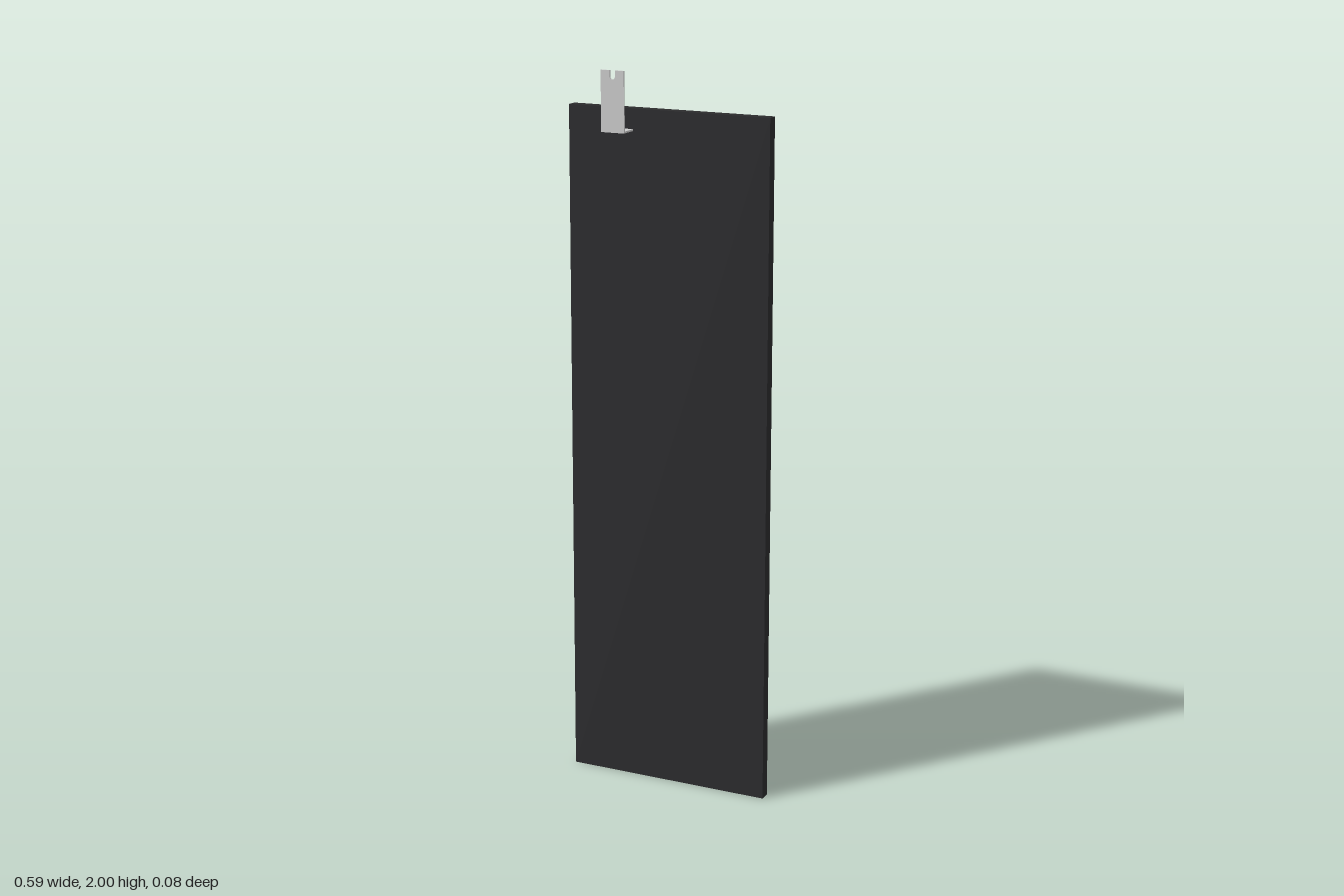
import * as THREE from 'three';

export function createModel() {
  const model = new THREE.Group();
  const dark = new THREE.MeshStandardMaterial({ color: 0x2b2b2d });
  const grey = new THREE.MeshStandardMaterial({ color: 0xcccccc });

  // Tall flat panel
  const panel = new THREE.Mesh(new THREE.BoxGeometry(0.588, 1.896, 0.03), dark);
  panel.name = 'panel';
  panel.position.set(0, 0.948, -0.027);
  model.add(panel);

  // L-shaped sheet-metal hanging bracket
  const bracket = new THREE.Group();
  bracket.name = 'hangingBracket';
  bracket.position.set(-0.136, 1.836, 0);
  model.add(bracket);

  const halfWidth = 0.034, height = 0.164, thick = 0.005;
  const notchHalf = 0.008, notchFloor = height - 0.024;

  // Upright tab with a round-bottomed notch in its top edge
  const outline = new THREE.Shape();
  outline.moveTo(-halfWidth, 0);
  outline.lineTo(halfWidth, 0);
  outline.lineTo(halfWidth, height);
  outline.lineTo(notchHalf, height);
  outline.lineTo(notchHalf, notchFloor + notchHalf);
  outline.absarc(0, notchFloor + notchHalf, notchHalf, 0, -Math.PI, true);
  outline.lineTo(-notchHalf, height);
  outline.lineTo(-halfWidth, height);
  outline.closePath();
  const tab = new THREE.Mesh(
    new THREE.ExtrudeGeometry(outline, { depth: thick, bevelEnabled: false, curveSegments: 8 }), grey);
  tab.name = 'bracketTab';
  tab.position.z = 0.037 - 0.001;
  bracket.add(tab);

  // Horizontal foot reaching back to the panel
  const foot = new THREE.Mesh(new THREE.BoxGeometry(halfWidth * 2, thick, 0.048), grey);
  foot.name = 'bracketFoot';
  foot.position.set(0, thick / 2, 0.012);
  bracket.add(foot);

  return model;
}
